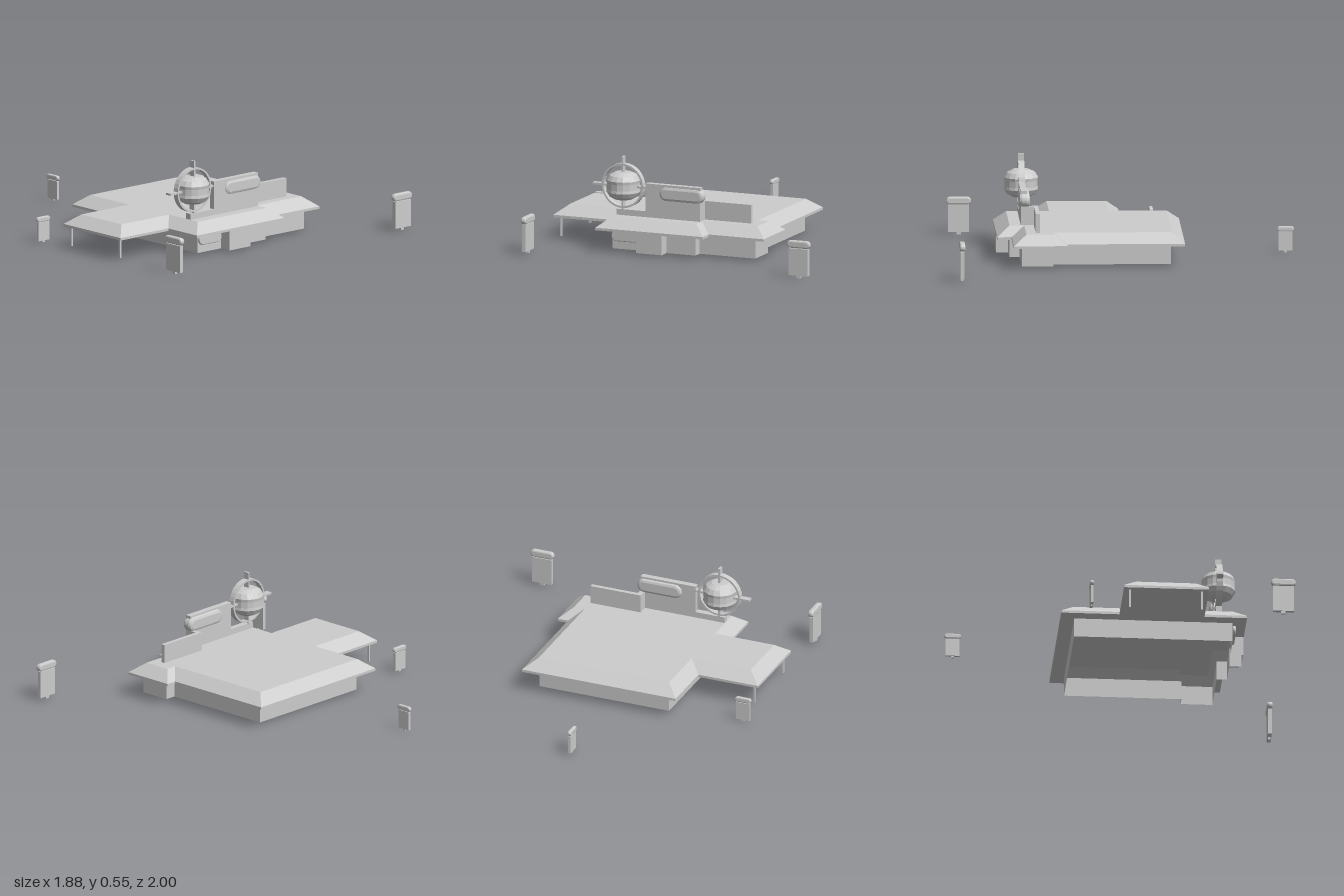
import * as THREE from 'three';

const grey = new THREE.MeshStandardMaterial({ color: 0xcccccc });
grey.name = 'concrete grey';
grey.flatShading = true;
const greySheet = grey.clone();
greySheet.side = THREE.DoubleSide;

function add(parent, name, geometry, x = 0, y = 0, z = 0, material = grey) {
  const mesh = new THREE.Mesh(geometry, material);
  mesh.name = name;
  mesh.position.set(x, y, z);
  parent.add(mesh);
  return mesh;
}

// Box given by its limits on each axis
function block(parent, name, x0, x1, y0, y1, z0, z1) {
  return add(parent, name, new THREE.BoxGeometry(x1 - x0, y1 - y0, z1 - z0),
    (x0 + x1) / 2, (y0 + y1) / 2, (z0 + z1) / 2);
}

// Vertical skin through outlines [[x, z], ...] stacked at given heights
function loft(rings) {
  const pos = [];
  for (let k = 0; k < rings.length - 1; k++) {
    const [lo, hi] = [rings[k], rings[k + 1]];
    const n = lo.pts.length;
    for (let i = 0; i < n; i++) {
      const j = (i + 1) % n;
      const at = (r, m) => [r.pts[m][0], r.y, r.pts[m][1]];
      const [a, b, c, d] = [at(lo, i), at(lo, j), at(hi, j), at(hi, i)];
      pos.push(...a, ...c, ...b, ...a, ...d, ...c);
    }
  }
  const g = new THREE.BufferGeometry();
  g.setAttribute('position', new THREE.Float32BufferAttribute(pos, 3));
  g.computeVertexNormals();
  return g;
}

// Horizontal sheet over an outline, with optional holes
function lid(outline, ...holes) {
  const flat = (pts) => pts.map(([x, z]) => new THREE.Vector2(x, -z));
  const shape = new THREE.Shape(flat(outline));
  for (const hole of holes) shape.holes.push(new THREE.Path(flat(hole)));
  return new THREE.ShapeGeometry(shape).rotateX(-Math.PI / 2);
}

// Capsule-shaped plate with softened rims, centred on the origin
function pill(w, h, d) {
  const b = Math.min(d * 0.3, h * 0.2), r = h / 2 - b, s = w / 2 - h / 2;
  const shape = new THREE.Shape();
  shape.absarc(s, 0, r, -Math.PI / 2, Math.PI / 2, false);
  shape.absarc(-s, 0, r, Math.PI / 2, Math.PI * 1.5, false);
  const g = new THREE.ExtrudeGeometry(shape, {
    depth: d - 2 * b, bevelSize: b, bevelThickness: b, bevelSegments: 2, curveSegments: 8,
  });
  return g.translate(0, 0, -(d - 2 * b) / 2);
}

// Free-standing sign: panel, rounded cap and short foot
function sign(parent, x, z, width, height, turned) {
  const g = new THREE.Group();
  g.name = 'roadSign';
  const w = width, h = height;
  block(g, 'signPanel', -w * 0.42, w * 0.42, h * 0.07, h * 0.79, -w * 0.08, w * 0.08);
  add(g, 'signCap', pill(w, h * 0.2, w * 0.22), 0, h * 0.9, 0);
  block(g, 'signFoot', -w * 0.09, w * 0.09, 0, h * 0.08, -w * 0.05, w * 0.05);
  g.position.set(x, 0, z);
  if (turned) g.rotation.y = Math.PI / 2;
  parent.add(g);
}

export function createModel() {
  const model = new THREE.Group();
  model.name = 'roadsideBuilding';

  // Outlines of the eaves, the flat deck and the stepped walls
  const eave = [[-0.53, -0.345], [0.441, -0.345], [0.441, 0.34], [0.505, 0.34], [0.505, 0.654], [0.154, 0.654],
    [0.154, 0.738], [-0.53, 0.738], [-0.53, 0.49], [-0.905, 0.49], [-0.905, -0.005], [-0.53, -0.005]];
  const deck = [[-0.457, -0.27], [0.366, -0.27], [0.366, 0.412], [0.432, 0.412], [0.432, 0.578], [0.08, 0.578],
    [0.08, 0.664], [-0.457, 0.664], [-0.457, 0.415], [-0.83, 0.415], [-0.83, 0.068], [-0.457, 0.068]];
  const plan = [[-0.455, -0.265], [0.364, -0.265], [0.364, 0.42], [0.43, 0.42], [0.43, 0.605], [0.075, 0.605],
    [0.075, 0.665], [-0.108, 0.665], [-0.108, 0.735], [-0.27, 0.735], [-0.27, 0.66], [-0.455, 0.66]];

  // Hollow roof: thin fascia, sloped border, flat deck, and a soffit open above the rooms
  const roof = new THREE.Group();
  roof.name = 'roof';
  model.add(roof);
  add(roof, 'roofBorder', loft([{ pts: eave, y: 0.127 }, { pts: eave, y: 0.142 }, { pts: deck, y: 0.2 }]),
    0, 0, 0, greySheet);
  add(roof, 'roofDeck', lid(deck), 0, 0.2, 0, greySheet);
  add(roof, 'roofSoffit', lid(eave, plan), 0, 0.127, 0, greySheet);

  // Walls: open-bottomed shell
  add(model, 'walls', loft([{ pts: plan, y: 0.012 }, { pts: plan, y: 0.127 }]), 0, 0, 0, greySheet);
  add(model, 'wallPlaque', pill(0.175, 0.062, 0.018), -0.367, 0.09, 0.67);

  // Carport posts
  for (const z of [0.03, 0.45]) block(model, 'carportPost', -0.878, -0.867, 0.012, 0.13, z - 0.006, z + 0.006);

  // Stepped parapet on the roof, with a short return joining its two lines
  block(model, 'lowParapet', -0.455, -0.27, 0.2, 0.235, 0.562, 0.598);
  block(model, 'tallParapet', -0.27, 0.075, 0.2, 0.4, 0.562, 0.598);
  block(model, 'sideParapet', 0.048, 0.365, 0.2, 0.31, 0.497, 0.522);
  block(model, 'parapetReturn', 0.048, 0.075, 0.2, 0.31, 0.522, 0.562);
  add(model, 'parapetPlaque', pill(0.28, 0.086, 0.062), -0.045, 0.346, 0.576);

  // Globe with a flat ring and four spokes
  const globe = new THREE.Group();
  globe.name = 'globeOrnament';
  globe.position.set(-0.42, 0.373, 0.578);
  model.add(globe);
  const profile = [[0, -0.082], [0.05, -0.08], [0.083, -0.063], [0.1, -0.035], [0.097, -0.018], [0.097, 0.018],
    [0.1, 0.035], [0.083, 0.063], [0.05, 0.08], [0, 0.082]].map(([r, y]) => new THREE.Vector2(r, y));
  add(globe, 'globe', new THREE.LatheGeometry(profile, 16));
  const ring = new THREE.Shape().absarc(0, 0, 0.132, 0, Math.PI * 2, false);
  ring.holes.push(new THREE.Path().absarc(0, 0, 0.121, 0, Math.PI * 2, true));
  add(globe, 'ring', new THREE.ExtrudeGeometry(ring, { depth: 0.036, bevelEnabled: false, curveSegments: 16 }),
    0, 0, -0.018);
  block(globe, 'leftSpoke', 0.09, 0.16, -0.006, 0.006, -0.018, 0.018);
  block(globe, 'rightSpoke', -0.19, -0.09, -0.006, 0.006, -0.018, 0.018);
  block(globe, 'topSpoke', -0.006, 0.006, 0.07, 0.173, -0.018, 0.018);
  block(globe, 'bottomSpoke', -0.006, 0.006, -0.145, -0.07, -0.018, 0.018);

  // Signs around the plot
  sign(model, 0.867, 0.968, 0.145, 0.222, false);
  sign(model, -0.874, 0.925, 0.145, 0.222, true);
  sign(model, -0.894, -0.195, 0.1, 0.153, false);
  sign(model, -0.133, -0.951, 0.098, 0.153, true);

  return model;
}
